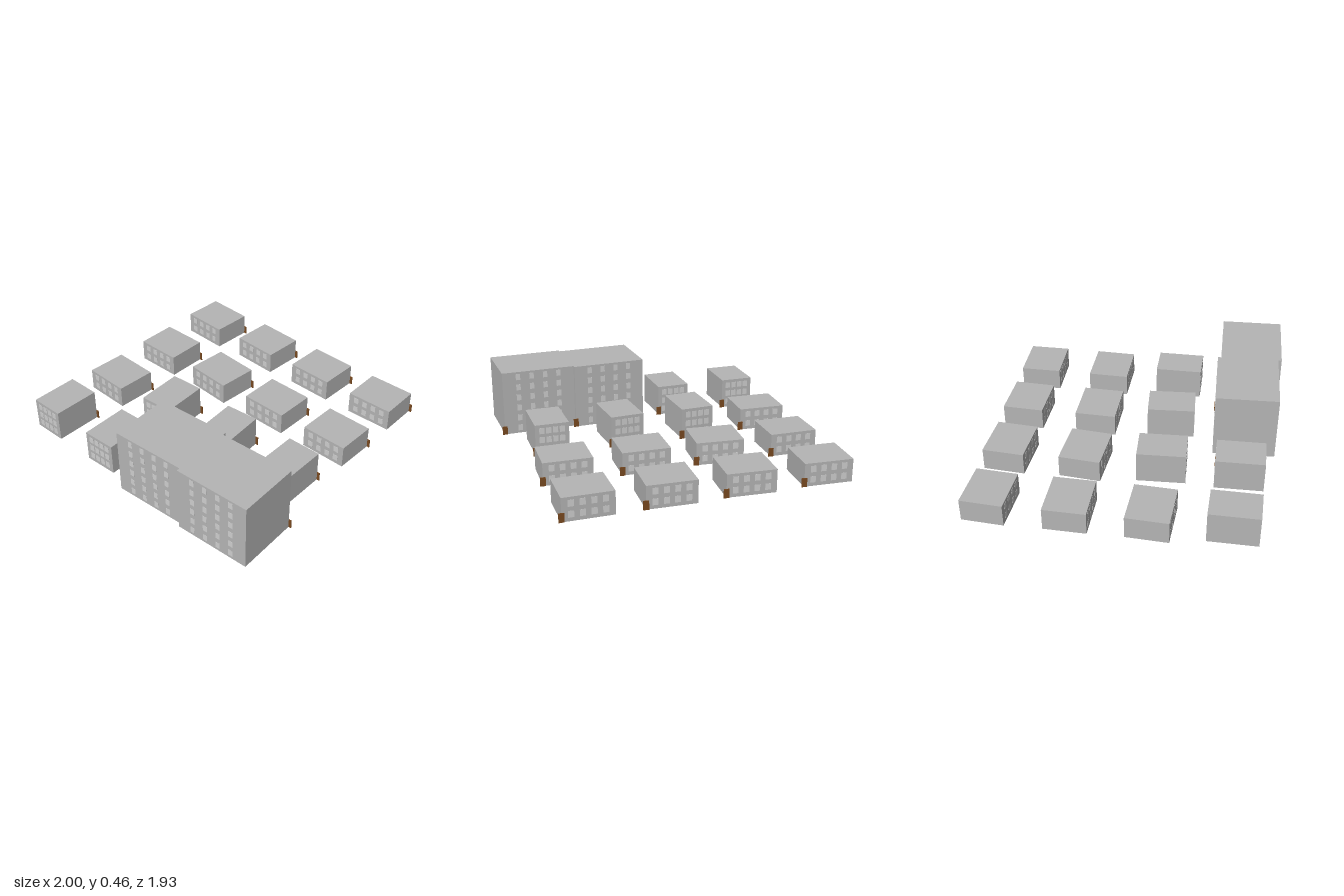
import * as THREE from 'three';

export function createModel() {
  const model = new THREE.Group();
  model.name = 'housingEstate';

  const mat = (name, color) => {
    const m = new THREE.MeshStandardMaterial({ color });
    m.name = name;
    return m;
  };
  const wallGrey = mat('wallGrey', 0xb5b5b5);
  const windowGrey = mat('windowGrey', 0xd0d0d0);
  const doorBrown = mat('doorBrown', 0x7a4a20);

  // size, window grid: column spacing, lowest row, row spacing, pane size
  const house = { w: 0.327, h: 0.155, d: 0.282, rows: 2, gap: 0.07, y0: 0.045, dy: 0.07, pane: [0.037, 0.043] };
  const flats = { w: 0.235, h: 0.218, d: 0.327, rows: 3, gap: 0.047, y0: 0.045, dy: 0.065, pane: [0.036, 0.043] };
  const block = { w: 0.52, h: 0.457, d: 0.425, rows: 6, gap: 0.098, y0: 0.04, dy: 0.076, pane: [0.032, 0.044] };

  function addBox(parent, name, material, size, position) {
    const mesh = new THREE.Mesh(new THREE.BoxGeometry(...size), material);
    mesh.name = name;
    mesh.position.set(...position);
    parent.add(mesh);
  }

  function addBuilding(name, type, x, z, turn) {
    const g = new THREE.Group();
    g.name = name;
    addBox(g, 'walls', wallGrey, [type.w, type.h, type.d], [0, type.h / 2, 0]);
    // four columns of panes on the front and back walls
    for (const side of [1, -1]) {
      for (let r = 0; r < type.rows; r++) {
        for (let c = 0; c < 4; c++) {
          addBox(g, 'window', windowGrey, [...type.pane, 0.002],
            [(c - 1.5) * type.gap, type.y0 + r * type.dy, side * type.d / 2]);
        }
      }
    }
    // thin door at the back corner, reaching just past the wall
    addBox(g, 'door', doorBrown, [0.036, 0.06, 0.006], [type.w / 2, 0.03, -type.d / 2 - 0.002]);
    g.position.set(x, 0, z);
    g.rotation.y = turn;
    model.add(g);
  }

  const columns = [-0.829, -0.307, 0.211, 0.73];
  const rows = [-0.822, -0.302, 0.218, 0.736];
  const types = [
    [house, house, house, house],
    [house, house, house, house],
    [house, flats, flats, flats],
    [flats, flats, block, block],
  ];
  // each building is turned slightly on its plot
  const turns = [
    [-0.055, -0.06, -0.033, 0.01],
    [-0.01, -0.08, -0.018, -0.015],
    [-0.04, 0.055, 0.075, 0.01],
    [0, 0.03, 0.05, 0.043],
  ];
  const names = new Map([[house, 'house'], [flats, 'flats'], [block, 'towerBlock']]);

  rows.forEach((z, r) => columns.forEach((x, c) => {
    addBuilding(names.get(types[r][c]), types[r][c], x, z, turns[r][c]);
  }));
  return model;
}
